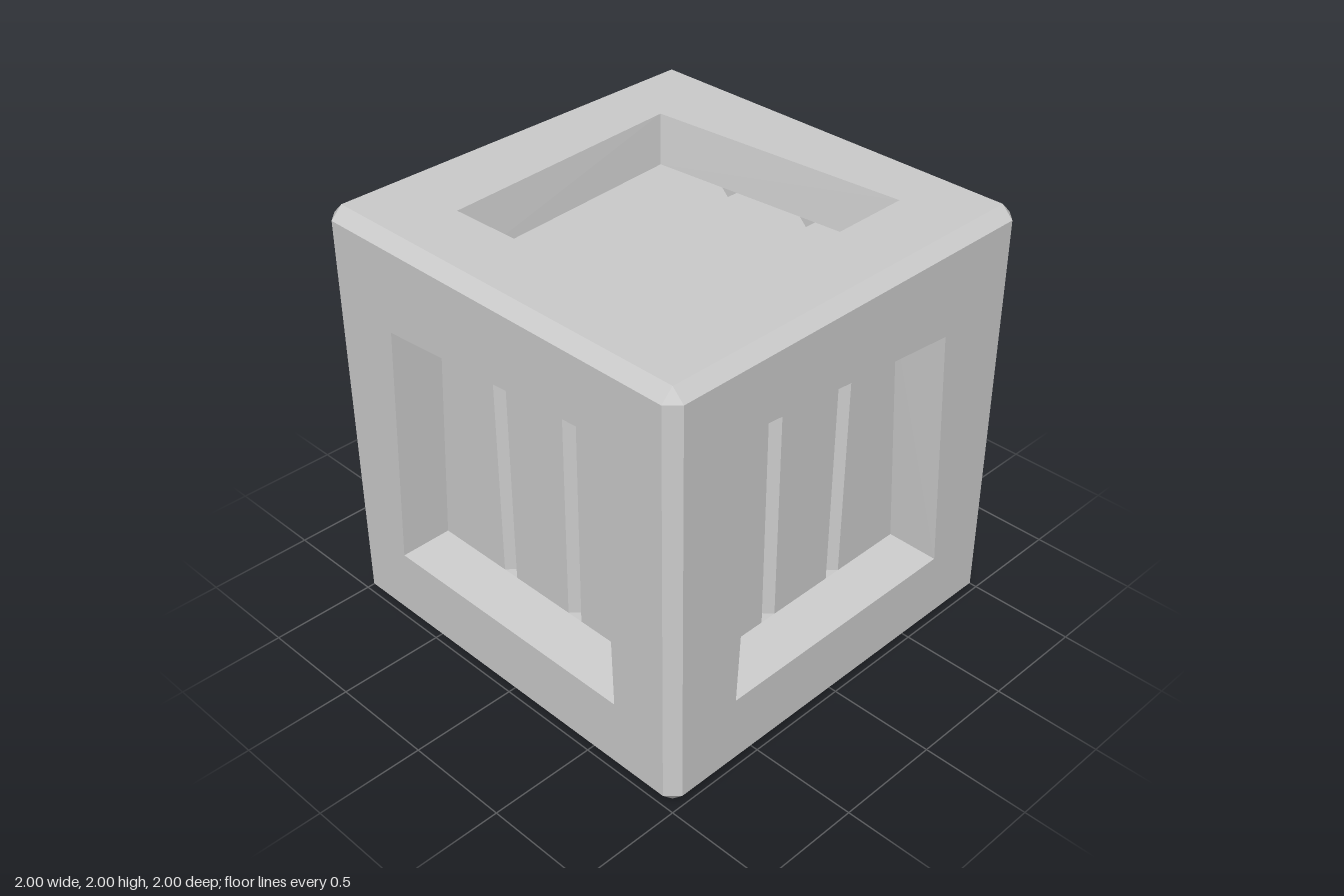
import * as THREE from 'three';

const RIM = 0.945;    // half width of each flat face inside the bevels
const DEPTH = 0.22;   // depth of the recessed panels
const INSET = 0.04;   // slope of the recess walls
const HALF = 0.04;    // half width of a plank groove
const CUT = 0.045;    // depth of a plank groove

const material = new THREE.MeshStandardMaterial({ color: 0xcccccc, flatShading: true });

// Mesh from flat convex polygons, each a counter-clockwise list of Vector3
function polygonMesh(name, polygons) {
  const points = [];
  for (const p of polygons)
    for (let i = 1; i < p.length - 1; i++) points.push(p[0], p[i], p[i + 1]);
  const geometry = new THREE.BufferGeometry().setFromPoints(points);
  geometry.computeVertexNormals();
  const mesh = new THREE.Mesh(geometry, material);
  mesh.name = name;
  return mesh;
}

// Each side: right, up and outward axes, opening corners (bottom left, then
// counter-clockwise) and the [bottom, top] positions of the two grooves
const sides = [
  { name: 'front', axes: [[1, 0, 0], [0, 1, 0], [0, 0, 1]],
    hole: [[-0.68, -0.63], [0.67, -0.63], [0.63, 0.65], [-0.61, 0.56]], grooves: [[-0.21, -0.21], [0.2, 0.21]] },
  { name: 'left', axes: [[0, 0, -1], [0, 1, 0], [1, 0, 0]],
    hole: [[-0.64, -0.63], [0.64, -0.63], [0.56, 0.56], [-0.565, 0.66]], grooves: [[-0.21, -0.21], [0.2, 0.21]] },
  { name: 'back', axes: [[-1, 0, 0], [0, 1, 0], [0, 0, -1]],
    hole: [[-0.58, -0.63], [0.68, -0.65], [0.66, 0.63], [-0.64, 0.67]], grooves: [[-0.2, -0.16], [0.22, 0.26]] },
  { name: 'right', axes: [[0, 0, 1], [0, 1, 0], [-1, 0, 0]],
    hole: [[-0.64, -0.61], [0.65, -0.64], [0.66, 0.575], [-0.66, 0.63]], grooves: [[-0.22, -0.22], [0.2, 0.2]] },
  { name: 'top', axes: [[1, 0, 0], [0, 0, -1], [0, 1, 0]],
    hole: [[-0.57, -0.65], [0.64, -0.62], [0.63, 0.675], [-0.64, 0.57]], grooves: [[-0.21, -0.21], [0.2, 0.21]] },
  { name: 'bottom', axes: [[1, 0, 0], [0, 0, 1], [0, -1, 0]],
    hole: [[-0.62, -0.65], [0.64, -0.57], [0.62, 0.7], [-0.65, 0.64]], grooves: [[-0.23, -0.22], [0.19, 0.2]] },
];

function createSide({ name, axes, hole, grooves }) {
  const [u, v, n] = axes.map((a) => new THREE.Vector3(...a));
  const at = (a, b, c) => new THREE.Vector3().addScaledVector(u, a).addScaledVector(v, b).addScaledVector(n, c);
  const inner = hole.map(([a, b]) => [a - Math.sign(a) * INSET, b - Math.sign(b) * INSET]);
  const square = [[-RIM, -RIM], [RIM, -RIM], [RIM, RIM], [-RIM, RIM]];

  // Ring of four quads between two loops of corners
  const ring = (outer, inside, z0, z1) => outer.map((p, i) => {
    const j = (i + 1) % 4;
    return [at(...p, z0), at(...outer[j], z0), at(...inside[j], z1), at(...inside[i], z1)];
  });

  // Height of a sloping panel edge at a sideways position
  const along = (p, q, a) => p[1] + (q[1] - p[1]) * (a - p[0]) / (q[0] - p[0]);
  const [bl, br, tr, tl] = inner;
  const floor = 1 - DEPTH;
  const station = (low, high, z) => ({
    low: at(low, along(bl, br, low), z), high: at(high, along(tl, tr, high), z),
  });

  // Planks with V-shaped grooves between them
  const stations = [station(bl[0], tl[0], floor)];
  const panel = [];
  for (const [low, high] of grooves) {
    const [l, m, r] = [-1, 0, 1].map((k) =>
      station(low + k * HALF, high + k * HALF, k ? floor : floor - CUT));
    stations.push(l, m, r);
    panel.push([l.low, r.low, m.low], [l.high, m.high, r.high]);
  }
  stations.push(station(br[0], tr[0], floor));
  for (let i = 0; i < stations.length - 1; i++) {
    const [p, q] = [stations[i], stations[i + 1]];
    panel.push([p.low, q.low, q.high, p.high]);
  }

  const group = new THREE.Group();
  group.name = name + 'Side';
  group.add(
    polygonMesh(name + 'Frame', ring(square, hole, 1, 1)),
    polygonMesh(name + 'RecessWalls', ring(hole, inner, 1, floor)),
    polygonMesh(name + 'PlankPanel', panel),
  );
  return group;
}

// Bevels along the twelve edges and the eight corner triangles
function createBevels() {
  const polygons = [];
  const point = (entries) => {
    const p = new THREE.Vector3();
    entries.forEach(([axis, value]) => p.setComponent(axis, value));
    return p;
  };
  // Turn a polygon so that it faces away from the centre
  const addOutward = (p) => {
    const normal = new THREE.Triangle(p[0], p[1], p[2]).getNormal(new THREE.Vector3());
    polygons.push(normal.dot(p[0]) < 0 ? p.reverse() : p);
  };
  for (const s of [-1, 1]) for (const t of [-1, 1]) {
    for (let a = 0; a < 3; a++) {
      const b = (a + 1) % 3, c = (a + 2) % 3;
      addOutward([
        point([[a, -RIM], [b, s], [c, t * RIM]]), point([[a, RIM], [b, s], [c, t * RIM]]),
        point([[a, RIM], [b, s * RIM], [c, t]]), point([[a, -RIM], [b, s * RIM], [c, t]]),
      ]);
    }
    for (const w of [-1, 1]) addOutward([
      new THREE.Vector3(s, t * RIM, w * RIM),
      new THREE.Vector3(s * RIM, t, w * RIM),
      new THREE.Vector3(s * RIM, t * RIM, w),
    ]);
  }
  return polygonMesh('edgeBevels', polygons);
}

export function createModel() {
  const crate = new THREE.Group();
  crate.name = 'crate';
  crate.add(createBevels(), ...sides.map(createSide));
  crate.children.forEach((part) => { part.position.y = 1; });
  return crate;
}
